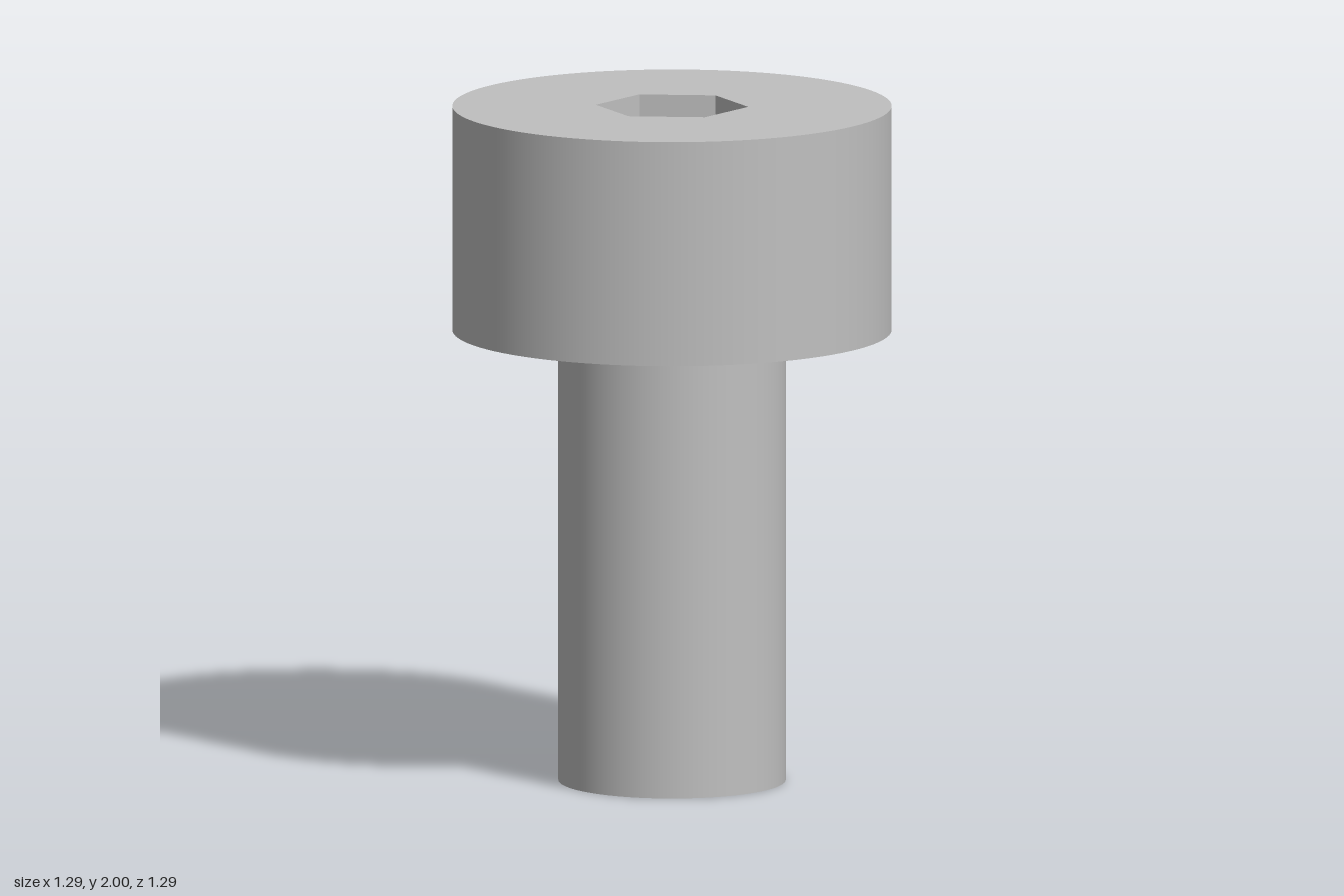
import * as THREE from 'three';

const SEGMENTS = 96;
const HEAD_R = 0.643, SHANK_R = 0.333, SOCKET_R = 0.224;
const TOP = 2, HEAD_BASE = 1.335, SOCKET_DEPTH = 0.33;

// Corner points of a regular polygon, first corner on +x
function polygon(radius, sides) {
  return Array.from({ length: sides }, (_, i) => {
    const a = (i / sides) * Math.PI * 2;
    return new THREE.Vector2(Math.cos(a) * radius, Math.sin(a) * radius);
  });
}

// Flat horizontal face, optionally with a polygonal hole
function flatFace(outer, hole, facingUp = true) {
  const shape = new THREE.Shape(outer);
  if (hole) shape.holes.push(new THREE.Path(hole));
  return new THREE.ShapeGeometry(shape).rotateX(facingUp ? -Math.PI / 2 : Math.PI / 2);
}

// Smooth open tube between two heights
function wall(radius, y0, y1) {
  return new THREE.CylinderGeometry(radius, radius, y1 - y0, SEGMENTS, 1, true)
    .translate(0, (y0 + y1) / 2, 0);
}

// Hexagonal socket walls, facing inwards
function socketWalls() {
  const g = new THREE.CylinderGeometry(SOCKET_R, SOCKET_R, SOCKET_DEPTH, 6, 1, true, Math.PI / 6)
    .scale(1, 1, -1)
    .translate(0, TOP - SOCKET_DEPTH / 2, 0)
    .toNonIndexed();
  g.computeVertexNormals();
  return g;
}

export function createModel() {
  const steel = new THREE.MeshStandardMaterial({ color: 0xc0c0c0 });
  steel.name = 'steel';

  const model = new THREE.Group();
  model.name = 'socketHeadBolt';
  const add = (name, geometry, y = 0) => {
    const mesh = new THREE.Mesh(geometry, steel);
    mesh.name = name;
    mesh.position.y = y;
    model.add(mesh);
  };

  const headRim = polygon(HEAD_R, SEGMENTS);
  const shankRim = polygon(SHANK_R, SEGMENTS);
  const hexagon = polygon(SOCKET_R, 6);

  // Head
  add('headSide', wall(HEAD_R, HEAD_BASE, TOP));
  add('headTop', flatFace(headRim, hexagon), TOP);
  add('headUnderside', flatFace(headRim, shankRim, false), HEAD_BASE);

  // Hex socket
  add('socketWalls', socketWalls());
  add('socketFloor', flatFace(hexagon), TOP - SOCKET_DEPTH);

  // Shank
  add('shankSide', wall(SHANK_R, 0, HEAD_BASE));
  add('shankEnd', flatFace(shankRim, null, false));

  return model;
}
